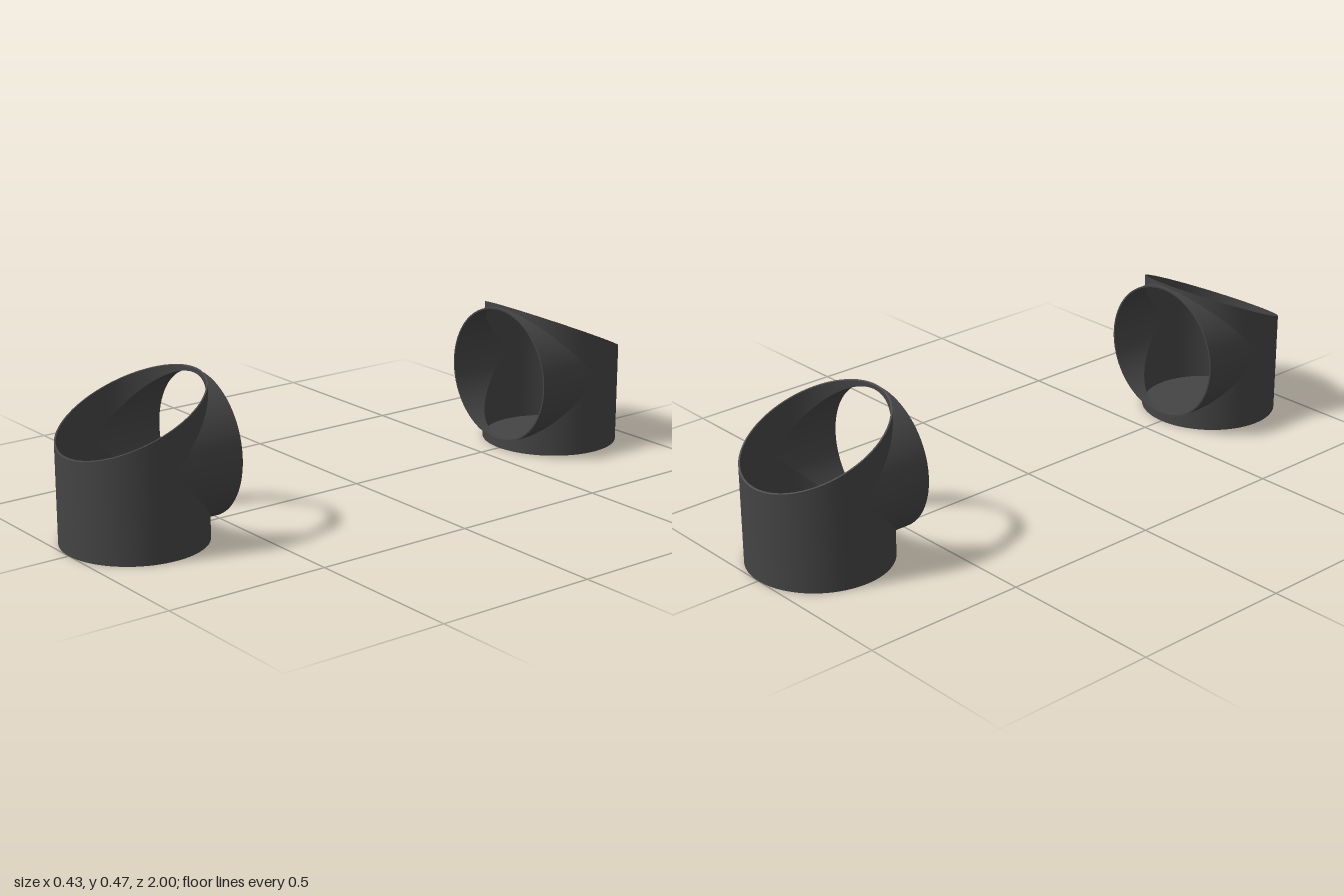
import * as THREE from 'three';
import { ParametricGeometry } from 'three/addons/geometries/ParametricGeometry.js';

const R = 0.213;       // outer radius of cup and side mouth
const WALL = 0.005;    // wall thickness
const MOUTH_Y = 0.243; // height of the mouth axis
const MOUTH_Z = 0.224; // how far the mouth reaches from the cup axis
const OFFSET = 0.787;  // cup axis to model centre

const material = new THREE.MeshStandardMaterial({ color: 0x444444, side: THREE.DoubleSide });

// height of the slanted top cut
const topY = (z) => 0.374 + 0.43 * z;

function sheet(name, fn, nu, nv) {
  const mesh = new THREE.Mesh(new ParametricGeometry((u, v, p) => p.set(...fn(u, v)), nu, nv), material);
  mesh.name = name;
  return mesh;
}

// vertical wall over an arc, between two height rules
function wall(name, r, start, low, high) {
  return sheet(name, (u, v) => {
    const t = start + u * Math.PI;
    const z = r * Math.sin(t);
    return [r * Math.cos(t), THREE.MathUtils.lerp(low(z), high(z), v), z];
  }, 40, 6);
}

// one skin of the cup: vertical cylinder crossed by a horizontal one of equal radius
function skin(label, r, floorY) {
  const g = new THREE.Group();
  g.name = label + 'Skin';
  g.add(
    wall(label + 'BackWall', r, Math.PI, () => floorY, topY),
    wall(label + 'WallBelowMouth', r, 0, () => floorY, (z) => MOUTH_Y - z),
    wall(label + 'WallAboveMouth', r, 0, (z) => MOUTH_Y + z, topY),
    sheet(label + 'MouthTube', (u, v) => {
      const a = u * Math.PI * 2;
      const z = THREE.MathUtils.lerp(Math.abs(r * Math.sin(a)), MOUTH_Z, v);
      return [r * Math.cos(a), MOUTH_Y + r * Math.sin(a), z];
    }, 80, 6),
  );
  return g;
}

function floorDisc(name, r, y, facing) {
  const mesh = new THREE.Mesh(new THREE.CircleGeometry(r, 80), material);
  mesh.name = name;
  mesh.rotation.x = -facing * Math.PI / 2;
  mesh.position.y = y;
  return mesh;
}

// cup whose mouth faces local +z
function cup(name) {
  const g = new THREE.Group();
  g.name = name;
  g.add(skin('outer', R, 0), skin('inner', R - WALL, WALL));
  g.add(floorDisc('underside', R, 0, -1), floorDisc('floor', R - WALL, WALL, 1));
  // thin edges joining the two skins
  g.add(sheet('topRim', (u, v) => {
    const r = R - WALL * v, t = u * Math.PI * 2, z = r * Math.sin(t);
    return [r * Math.cos(t), topY(z), z];
  }, 80, 1));
  g.add(sheet('mouthRim', (u, v) => {
    const r = R - WALL * v, a = u * Math.PI * 2;
    return [r * Math.cos(a), MOUTH_Y + r * Math.sin(a), MOUTH_Z];
  }, 80, 1));
  return g;
}

export function createModel() {
  const model = new THREE.Group();
  model.name = 'pairOfCups';
  const back = cup('backCup');
  back.position.z = -OFFSET;
  const front = cup('frontCup');
  front.position.z = OFFSET;
  front.rotation.y = Math.PI;
  model.add(back, front);
  return model;
}
